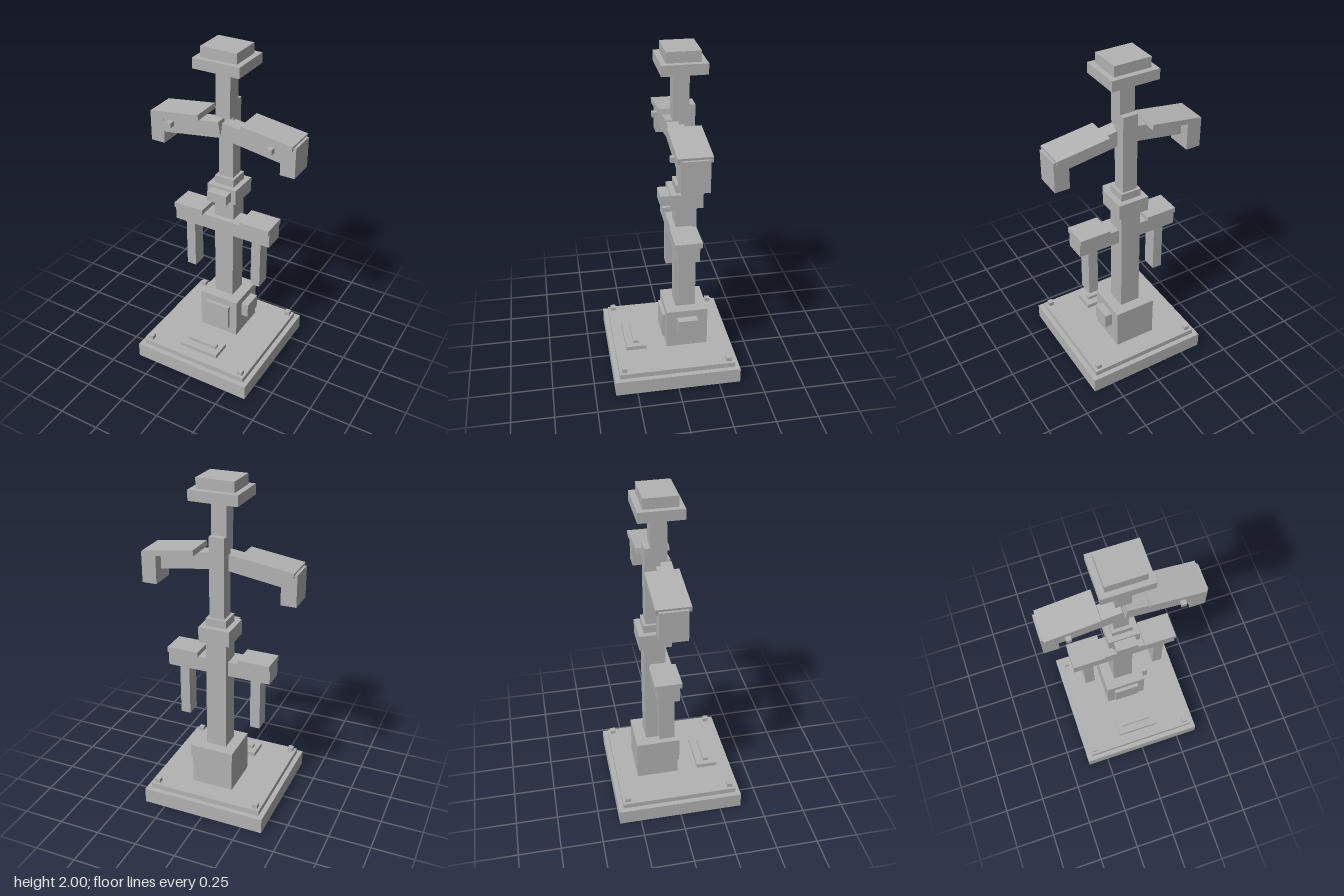
import * as THREE from 'three';

export function createModel() {
  const model = new THREE.Group();
  model.name = 'signalPost';
  const grey = new THREE.MeshStandardMaterial({ color: 0xb3b3b3 });
  grey.name = 'plain grey';

  // Box given by its extents on each axis
  function box(name, [x0, x1], [y0, y1], [z0, z1], parent = model) {
    const mesh = new THREE.Mesh(new THREE.BoxGeometry(x1 - x0, y1 - y0, z1 - z0), grey);
    mesh.position.set((x0 + x1) / 2, (y0 + y1) / 2, (z0 + z1) / 2);
    mesh.name = name;
    parent.add(mesh);
    return mesh;
  }
  // Box centred on x = 0
  const centred = (name, width, y, z) => box(name, [-width / 2, width / 2], y, z);
  // Same box on both sides
  function pair(name, [x0, x1], y, z) {
    box(name + 'Left', [x0, x1], y, z);
    box(name + 'Right', [-x1, -x0], y, z);
  }

  // Stepped base with corner bolts and a plaque
  centred('base', 0.76, [0, 0.095], [-0.38, 0.38]);
  centred('basePlate', 0.7, [0.095, 0.127], [-0.35, 0.35]);
  for (const z of [-0.318, 0.318]) {
    pair('bolt', [0.302, 0.334], [0.127, 0.153], [z - 0.016, z + 0.016]);
  }
  centred('plaque', 0.254, [0.127, 0.152], [0.158, 0.284]);
  centred('plaqueBar', 0.19, [0.152, 0.171], [0.205, 0.236]);

  // Pedestal with front door and side box
  centred('pedestal', 0.254, [0.127, 0.381], [-0.222, 0.031]);
  centred('pedestalDoor', 0.158, [0.177, 0.336], [0.031, 0.052]);
  box('sideBox', [0.127, 0.172], [0.246, 0.336], [-0.155, -0.033]);

  // Column sections and collar
  centred('lowerColumn', 0.124, [0.381, 1.209], [-0.156, -0.033]);
  centred('collar', 0.188, [1.07, 1.162], [-0.188, -0.001]);
  centred('collarBox', 0.126, [1.086, 1.146], [-0.001, 0.057]);
  centred('middleColumn', 0.09, [1.209, 1.683], [-0.141, -0.053]);
  centred('upperColumn', 0.09, [1.595, 1.88], [-0.108, -0.017]);

  // Head
  centred('headSlab', 0.284, [1.88, 1.94], [-0.19, 0.062]);
  centred('headCap', 0.22, [1.94, 2], [-0.157, 0.032]);

  // Lower crossbar with caps and hanging posts
  centred('crossbar', 0.634, [0.85, 0.94], [-0.126, -0.001]);
  pair('crossbarCap', [0.125, 0.317], [0.938, 0.97], [-0.141, 0.014]);
  pair('hangingPost', [0.194, 0.254], [0.53, 0.85], [-0.108, -0.017]);

  // Sloping upper arms with roof plates, end blocks and pegs
  const slope = THREE.MathUtils.degToRad(8.5);
  for (const side of [1, -1]) {
    const label = side > 0 ? 'Left' : 'Right';
    const arm = new THREE.Group();
    arm.name = 'arm' + label;
    arm.position.set(side * 0.006, 1.531, 0);
    arm.rotation.z = -side * slope;
    model.add(arm);
    const span = (a, b) => (side > 0 ? [a, b] : [-b, -a]);
    box('armBeam' + label, span(0, 0.395), [-0.047, 0.047], [-0.08, 0.012], arm);

    const roof = box('armRoof' + label, [-0.158, 0.158], [-0.016, 0.016], [-0.158, 0.03]);
    roof.position.x = side * 0.288;
    roof.position.y = 1.559;
    roof.rotation.z = -side * THREE.MathUtils.degToRad(8);
  }
  pair('endBlock', [0.371, 0.46], [1.357, 1.54], [-0.143, 0.013]);
  pair('armPeg', [0.303, 0.333], [1.482, 1.512], [0, 0.046]);

  return model;
}
